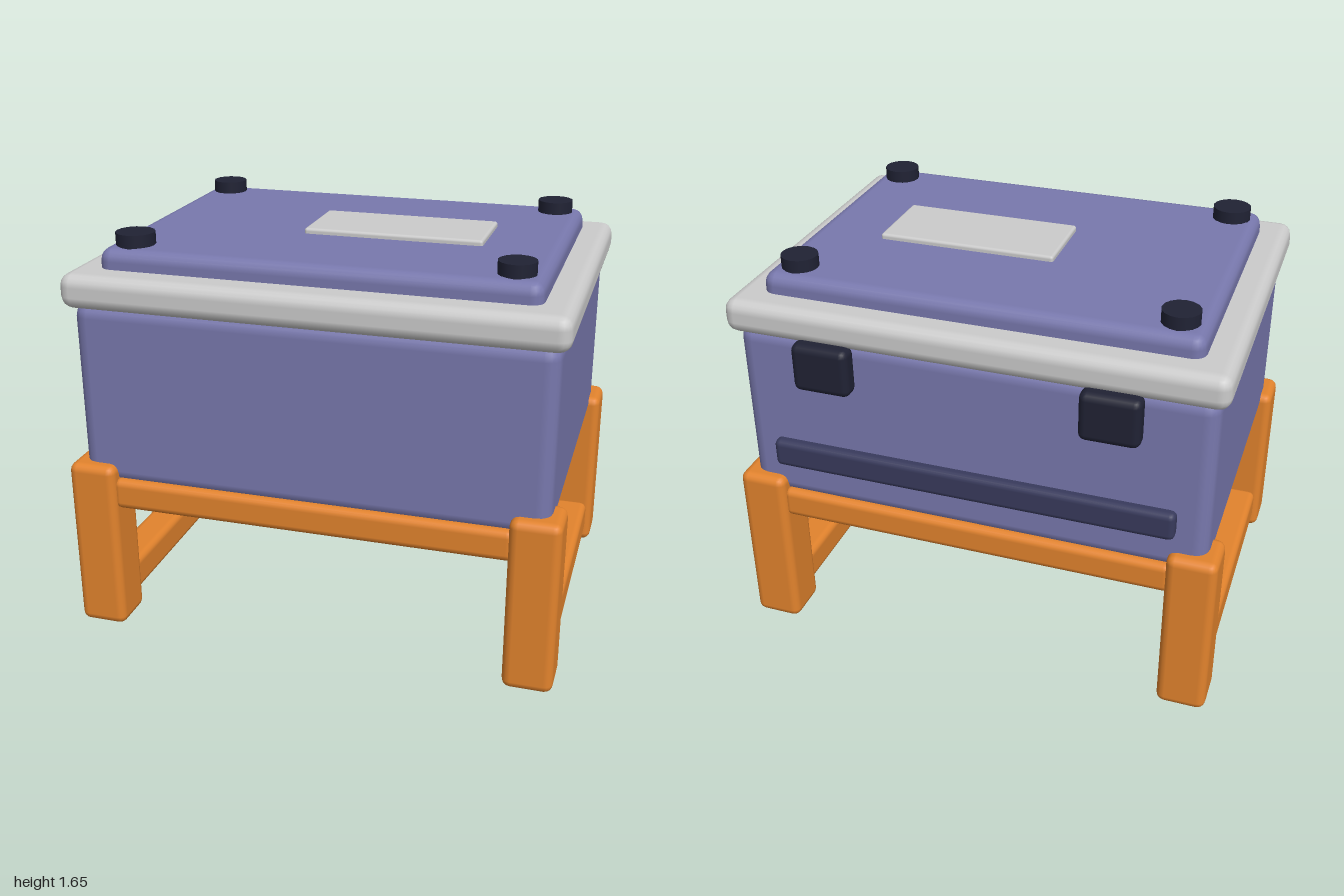
import * as THREE from 'three';
import { RoundedBoxGeometry } from 'three/addons/geometries/RoundedBoxGeometry.js';

const material = (color) => new THREE.MeshStandardMaterial({ color });

// Rounded box given by its extents on each axis
function block(name, [x0, x1], [y0, y1], [z0, z1], radius, mat) {
  const geometry = new RoundedBoxGeometry(x1 - x0, y1 - y0, z1 - z0, 2, radius);
  const mesh = new THREE.Mesh(geometry, mat);
  mesh.position.set((x0 + x1) / 2, (y0 + y1) / 2, (z0 + z1) / 2);
  mesh.name = name;
  return mesh;
}

export function createModel() {
  const model = new THREE.Group();
  model.name = 'coolerOnStand';

  const blue = material(0x7878ad);
  const orange = material(0xe2832d);
  const grey = material(0xcccccc);
  const black = material(0x202234);
  const navy = material(0x383a5c);
  const midZ = 0.015; // the box and stand sit slightly forward of the hinges

  // Box, rim and lid
  model.add(
    block('body', [-0.95, 0.95], [0.64, 1.4], [-0.685, 0.715], 0.06, blue),
    block('rim', [-0.985, 0.985], [1.38, 1.52], [-0.72, 0.75], 0.05, grey),
    block('lid', [-0.865, 0.865], [1.46, 1.6], [-0.605, 0.63], 0.05, blue),
    block('lidPlate', [-0.17, 0.56], [1.58, 1.622], [-0.155, 0.18], 0.012, grey),
    block('backStrip', [-0.825, 0.825], [0.8, 0.92], [-0.725, -0.645], 0.025, navy)
  );

  // Round knobs on the lid corners; one is a little larger
  for (const x of [-0.75, 0.75]) {
    for (const z of [-0.49, 0.515]) {
      const radius = x < 0 && z > 0 ? 0.078 : 0.073;
      const knob = new THREE.Mesh(new THREE.CylinderGeometry(radius, radius, 0.07, 16), black);
      knob.position.set(x, 1.615, z);
      knob.name = 'lidKnob';
      model.add(knob);
    }
  }

  // Hinges on the back
  for (const x of [-0.567, 0.567]) {
    model.add(block('hinge', [x - 0.117, x + 0.117], [1.2, 1.4], [-0.765, -0.68], 0.03, black));
  }

  // Stand: four legs, long rails under the box, low side rails
  const stand = new THREE.Group();
  stand.name = 'stand';
  stand.position.z = midZ;
  for (const sx of [-1, 1]) {
    const x = sx * 0.9;
    for (const sz of [-1, 1]) {
      const z = sz * 0.65;
      stand.add(block('leg', [x - 0.1, x + 0.1], [0, 0.73], [z - 0.1, z + 0.1], 0.035, orange));
    }
    stand.add(block('sideRail', [x - 0.075, x + 0.075], [0.055, 0.2], [-0.57, 0.57], 0.03, orange));
  }
  for (const sz of [-1, 1]) {
    const z = sz * 0.65;
    stand.add(block('longRail', [-0.82, 0.82], [0.54, 0.67], [z - 0.075, z + 0.075], 0.03, orange));
  }
  model.add(stand);

  return model;
}
